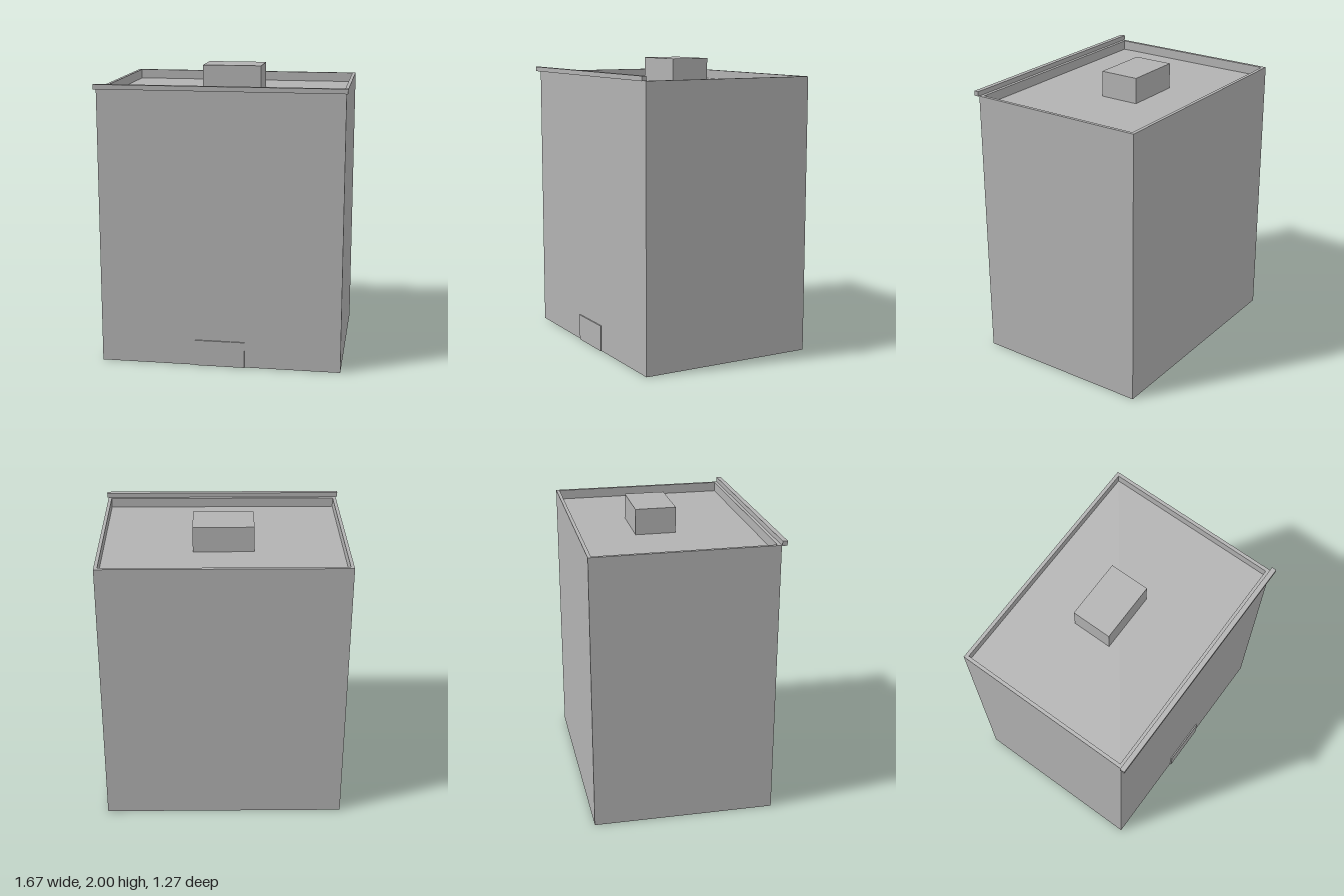
import * as THREE from 'three';

export function createModel() {
  const model = new THREE.Group();
  model.name = 'building';
  const concrete = new THREE.MeshStandardMaterial({ color: 0xb2b2b2 });
  concrete.name = 'concrete grey';

  // Adds a box given by its minimum and maximum corners
  function box(name, [x0, y0, z0], [x1, y1, z1]) {
    const mesh = new THREE.Mesh(new THREE.BoxGeometry(x1 - x0, y1 - y0, z1 - z0), concrete);
    mesh.position.set((x0 + x1) / 2, (y0 + y1) / 2, (z0 + z1) / 2);
    mesh.name = name;
    model.add(mesh);
  }

  const X = 0.823, BACK = -0.633, FRONT = 0.6, TOP = 1.89, ROOF = 1.825, WALL = 0.023;

  // Outer walls with the parapet: a rectangular ring extruded upward
  const rect = (target, x, z0, z1) => {
    target.moveTo(-x, -z1);
    target.lineTo(x, -z1);
    target.lineTo(x, -z0);
    target.lineTo(-x, -z0);
    target.closePath();
    return target;
  };
  const ring = rect(new THREE.Shape(), X, BACK, FRONT);
  ring.holes.push(rect(new THREE.Path(), X - WALL, BACK + WALL, FRONT - WALL));
  const wallGeometry = new THREE.ExtrudeGeometry(ring, { depth: TOP, bevelEnabled: false });
  wallGeometry.rotateX(-Math.PI / 2);
  const walls = new THREE.Mesh(wallGeometry, concrete);
  walls.name = 'wallsAndParapet';
  model.add(walls);

  // Solid core whose top is the sunken roof deck
  box('roofDeck', [-X + WALL, 0, BACK + WALL], [X - WALL, ROOF, FRONT - WALL]);

  // Rooftop stair housing
  box('roofHousing', [-0.205, ROOF, -0.222], [0.203, 2, 0.052]);

  // Cornice strip along the front edge
  box('frontCornice', [-0.835, TOP, FRONT], [0.833, 1.922, 0.633]);

  // Shallow entrance slab at street level
  box('entrance', [-0.17, 0, FRONT], [0.17, 0.18, FRONT + 0.009]);

  return model;
}
